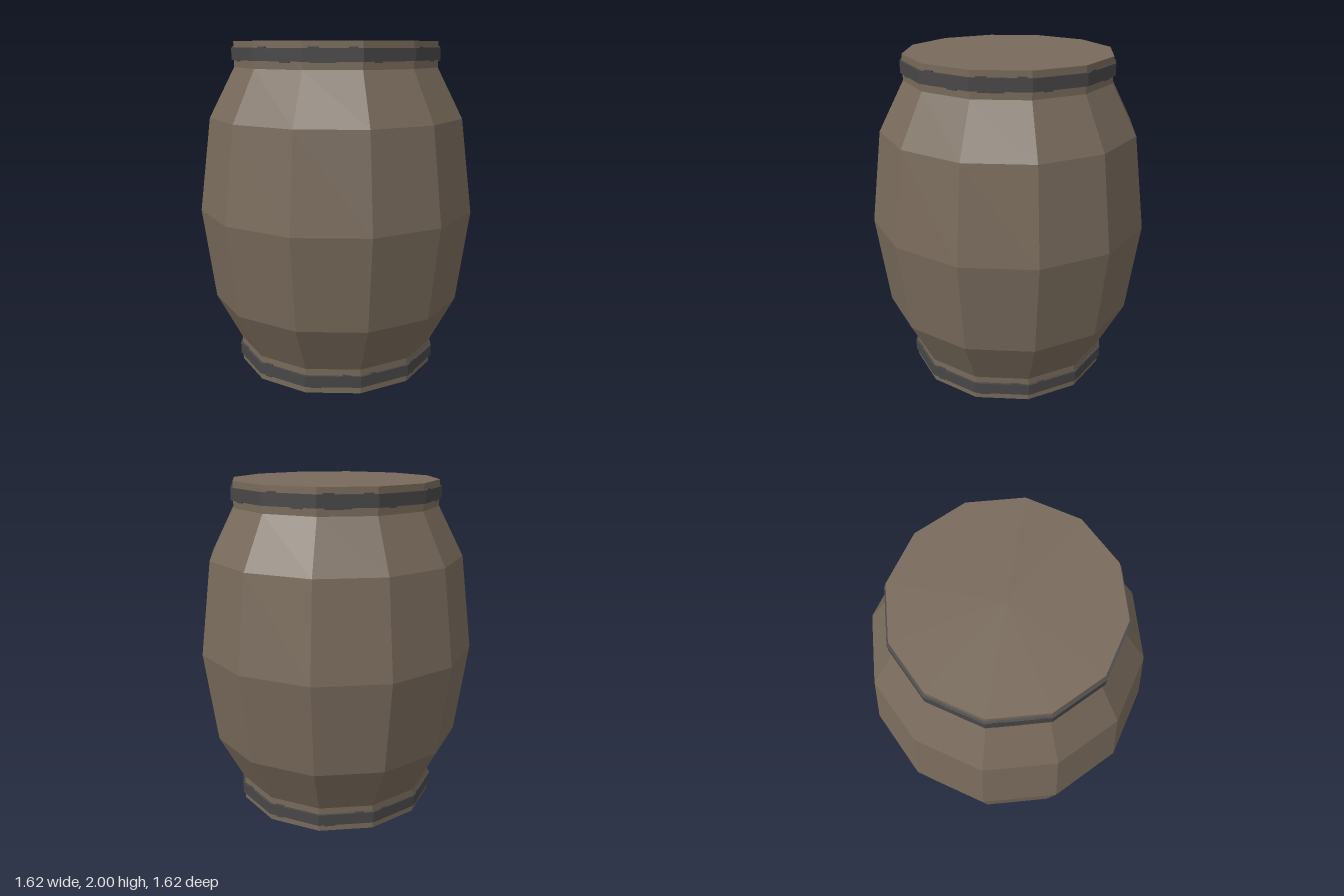
import * as THREE from 'three';

const SIDES = 12;
const STEP = (Math.PI * 2) / SIDES;

const wood = new THREE.MeshStandardMaterial({ color: 0x786a5b, flatShading: true });
wood.name = 'weathered wood';
const iron = new THREE.MeshStandardMaterial({ color: 0x484646, flatShading: true });
iron.name = 'dark iron';

// Twelve-sided turned shape with a flat facet facing front
function turned(name, profile, material) {
  const points = profile.map(([apothem, y]) => new THREE.Vector2(apothem / Math.cos(STEP / 2), y));
  const mesh = new THREE.Mesh(new THREE.LatheGeometry(points, SIDES, STEP / 2), material);
  mesh.name = name;
  return mesh;
}

// Iron band with small uneven bumps along its upper and lower edges
function makeHoop(name, bottom, top, bumps) {
  const hoop = new THREE.Group();
  hoop.name = name;
  hoop.add(turned('band', [
    [0.59, bottom], [0.608, bottom], [0.608, top], [0.59, top], [0.59, bottom],
  ], iron));

  for (let quarter = 0; quarter < 4; quarter++) {
    for (const [facet, along, edge, width] of bumps) {
      const holder = new THREE.Group();
      holder.name = 'edgeBump';
      holder.rotation.y = quarter * Math.PI / 2 + facet * STEP;
      const bump = new THREE.Mesh(new THREE.BoxGeometry(width, 0.014, 0.012), iron);
      bump.name = 'bump';
      bump.position.set(along, edge > 0 ? top : bottom, 0.601);
      holder.add(bump);
      hoop.add(holder);
    }
  }
  return hoop;
}

export function createModel() {
  const barrel = new THREE.Group();
  barrel.name = 'barrel';

  // Bulging body with closed ends
  barrel.add(turned('body', [
    [0, 0], [0.595, 0], [0.595, 0.15], [0.742, 0.445], [0.812, 1],
    [0.742, 1.557], [0.595, 1.85], [0.595, 2], [0, 2],
  ], wood));

  // Bumps: facet, offset along it, edge, width
  barrel.add(makeHoop('topHoop', 1.893, 1.963, [
    [-1, -0.1, 1, 0.06], [-1, 0.11, 1, 0.05], [1, -0.1, 1, 0.05],
    [-1, -0.05, -1, 0.14], [0, -0.07, -1, 0.05], [1, 0.05, -1, 0.06],
  ]));
  barrel.add(makeHoop('bottomHoop', 0.042, 0.11, [
    [-1, 0.08, 1, 0.05], [0, -0.08, 1, 0.04], [1, -0.1, 1, 0.05],
    [-1, -0.1, -1, 0.06], [1, -0.1, -1, 0.04],
  ]));

  return barrel;
}
